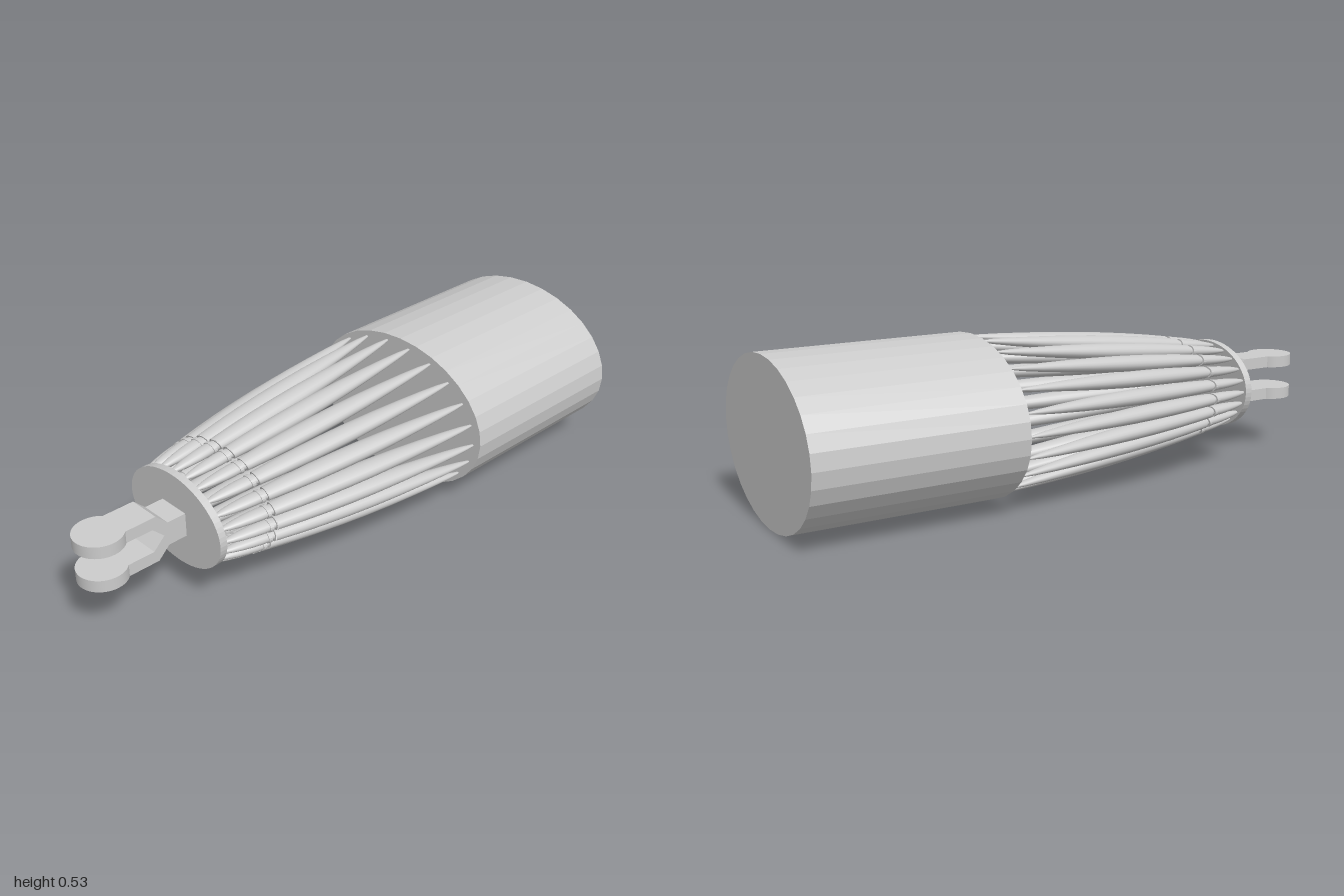
import * as THREE from 'three';

const MID_Y = 0.264;   // height of the long axis
const SQUASH = 0.705;  // the body is flattened vertically
const RIBS = 22;

export function createModel() {
  const model = new THREE.Group();
  const smooth = new THREE.MeshStandardMaterial({ color: 0xcccccc });
  const faceted = new THREE.MeshStandardMaterial({ color: 0xcccccc, flatShading: true });

  const add = (parent, name, geometry, material) => {
    const mesh = new THREE.Mesh(geometry, material);
    mesh.name = name;
    parent.add(mesh);
    return mesh;
  };

  // Cylinder lying along z between two depths
  const lyingCylinder = (radius, z0, z1, sides) =>
    new THREE.CylinderGeometry(radius, radius, z1 - z0, sides)
      .rotateX(Math.PI / 2).translate(0, 0, (z0 + z1) / 2);

  // Turned solid running from (r0, z0) to (r1, z1); profile is [radius, fraction]
  const turned = (profile, r0, z0, r1, z1) => {
    const length = Math.hypot(r1 - r0, z1 - z0);
    const points = profile.map(([r, t]) => new THREE.Vector2(r, t * length));
    return new THREE.LatheGeometry(points, 20)
      .rotateX(Math.PI / 2)
      .rotateY(Math.atan2(r1 - r0, z1 - z0))
      .translate(r0, 0, z0);
  };

  const body = new THREE.Group();
  body.name = 'body';
  body.position.y = MID_Y;
  body.scale.y = SQUASH;
  model.add(body);

  add(body, 'rearDrum', lyingCylinder(0.373, -1, -0.32, 32), faceted);
  add(body, 'frontPlate', lyingCylinder(0.217, 0.63, 0.655, 64), faceted);

  // Ribs: long spindle, thin neck, collar and short tapering tip
  const spindle = turned([
    [0, 0], [0.005, 0.005], [0.012, 0.06], [0.019, 0.15], [0.026, 0.27], [0.032, 0.4],
    [0.036, 0.54], [0.037, 0.66], [0.036, 0.78], [0.033, 0.89], [0.028, 1],
  ], 0.35, -0.312, 0.228, 0.46);
  const spindleEnd = turned([[0.028, 0], [0, 0.01]], 0.228, 0.46, 0.224, 0.475);
  const neck = turned([[0.021, 0], [0.021, 1]], 0.228, 0.458, 0.224, 0.48);
  const collar = turned([[0, 0], [0.027, 0], [0.027, 1], [0, 1]], 0.226, 0.473, 0.224, 0.485);
  const tip = turned([
    [0.024, 0], [0.0245, 0.15], [0.023, 0.35], [0.019, 0.6], [0.014, 0.8], [0.008, 0.95], [0.005, 1],
  ], 0.224, 0.484, 0.199, 0.635);

  for (let i = 0; i < RIBS; i++) {
    const rib = new THREE.Group();
    rib.name = 'rib' + (i + 1);
    rib.rotation.z = (i / RIBS) * Math.PI * 2;
    add(rib, 'longSpindle', spindle, smooth);
    add(rib, 'spindleEnd', spindleEnd, faceted);
    add(rib, 'neck', neck, smooth);
    add(rib, 'collar', collar, faceted);
    add(rib, 'shortTip', tip, smooth);
    body.add(rib);
  }

  // Fork: side profile (z, y) extruded across x
  const upper = [[0.65, 0.04], [0.72, 0.04], [0.76, 0.079], [0.92, 0.079], [0.92, 0.039], [0.775, 0.039]];
  const lower = upper.map(([z, y]) => [z, -y]).reverse();
  const outline = [...upper, [0.735, 0], ...lower].map(([z, y]) => new THREE.Vector2(z, y));
  const fork = new THREE.Group();
  fork.name = 'fork';
  fork.position.y = MID_Y + 0.001;
  model.add(fork);
  add(fork, 'forkArms',
    new THREE.ExtrudeGeometry(new THREE.Shape(outline), { depth: 0.11, bevelEnabled: false })
      .translate(0, 0, -0.055).rotateY(-Math.PI / 2), faceted);

  // Round ends of the fork
  for (const side of [1, -1]) {
    add(fork, side > 0 ? 'upperRoundEnd' : 'lowerRoundEnd',
      new THREE.CylinderGeometry(0.078, 0.078, 0.04, 48).translate(0, side * 0.059, 0.922), smooth);
  }
  return model;
}
